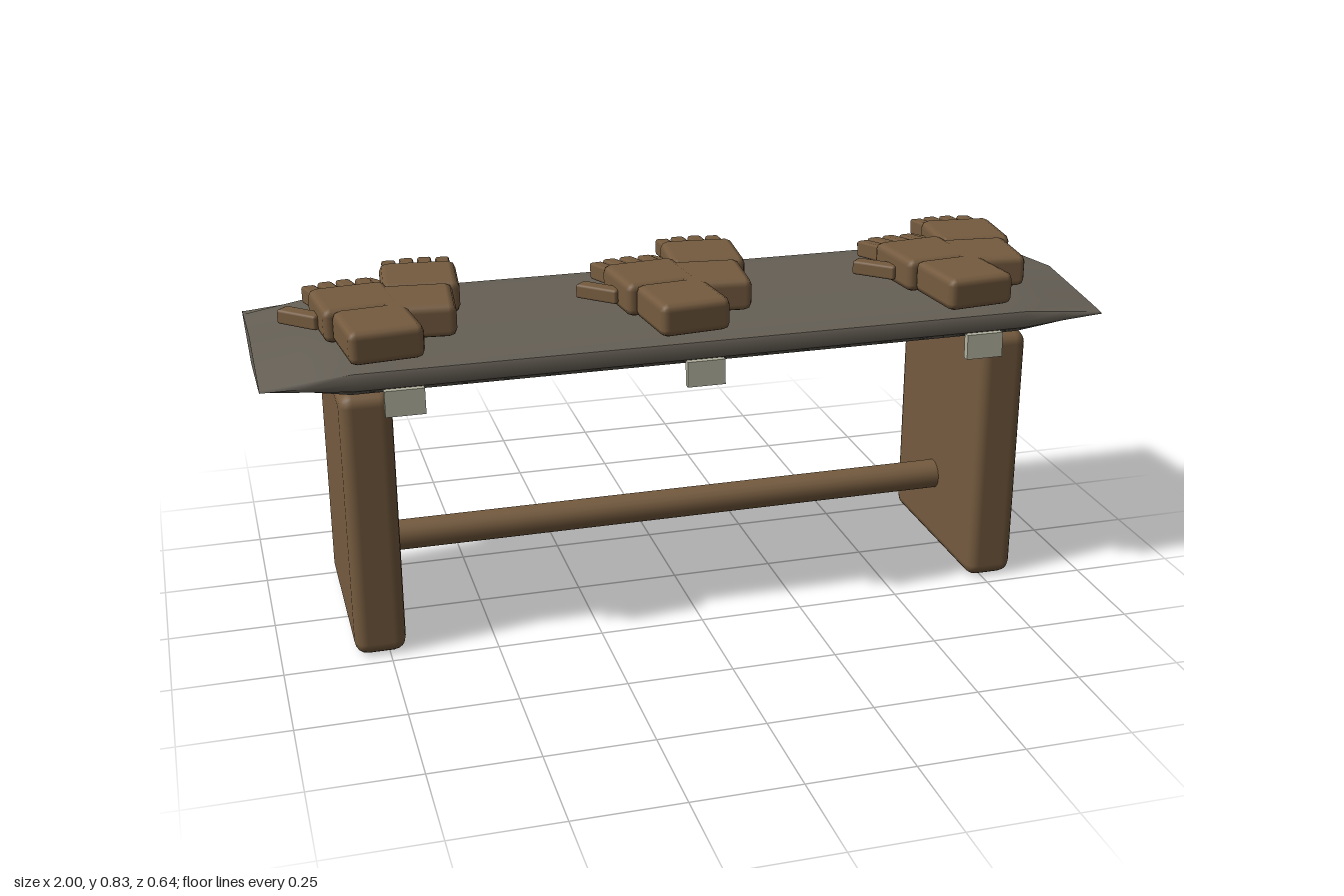
import * as THREE from 'three';
import { RoundedBoxGeometry } from 'three/addons/geometries/RoundedBoxGeometry.js';

const mat = (name, color) => {
  const m = new THREE.MeshStandardMaterial({ color });
  m.name = name;
  return m;
};

export function createModel() {
  const brown = mat('brown', 0x755b3f);
  const grey = mat('slate grey', 0x666056);
  const pale = mat('pale tag', 0xb4b29f);
  const root = new THREE.Group();
  root.name = 'gloveDisplayTable';

  const add = (parent, name, geometry, material, x = 0, y = 0, z = 0) => {
    const mesh = new THREE.Mesh(geometry, material);
    mesh.name = name;
    mesh.position.set(x, y, z);
    parent.add(mesh);
    return mesh;
  };

  // Cushioned top: a slab that thins to the rim and almost to nothing at its corners
  const top = new THREE.BoxGeometry(2, 0.1, 0.58, 20, 2, 12);
  const p = top.attributes.position;
  for (let i = 0; i < p.count; i++) {
    const x = p.getX(i), z = p.getZ(i);
    const v = Math.abs(z) / 0.29;
    const end = Math.max(0, (Math.abs(x) - 0.8) / 0.2);
    const middle = 0.02 + 0.03 * Math.sqrt(1 - v ** 4);
    const tip = 0.002 + 0.032 * (1 - v);
    const half = THREE.MathUtils.lerp(middle, tip, end);
    const level = p.getY(i) / 0.05;
    // the long rims bulge out slightly at mid height
    const bulge = v > 0.99 ? 1 - 0.03 * Math.abs(level) : 1;
    p.setXYZ(i, x, level * half, z * bulge);
  }
  top.computeVertexNormals();
  add(root, 'tableTop', top, grey, 0, 0.695, -0.03);

  // Slab legs with softened edges
  for (const side of [-1, 1]) {
    add(root, side > 0 ? 'leftLeg' : 'rightLeg',
      new RoundedBoxGeometry(0.12, 0.65, 0.493, 2, 0.03), brown, side * 0.77, 0.325, -0.028);
  }

  // Round stretcher between the legs
  const bar = new THREE.CylinderGeometry(0.037, 0.037, 1.44, 20).rotateZ(Math.PI / 2);
  add(root, 'stretcher', bar, brown, 0, 0.188, -0.03);

  // One glove: local origin is the palm centre, fingers point to -z
  const palmGeo = new RoundedBoxGeometry(0.18, 0.08, 0.185, 1, 0.018);
  const cuffGeo = new RoundedBoxGeometry(0.168, 0.078, 0.18, 1, 0.018);
  const thumbGeo = new RoundedBoxGeometry(0.04, 0.034, 0.11, 1, 0.006);
  const fingerLengths = [0.125, 0.15, 0.155, 0.145];
  const makeGlove = (name, x, z, turn, thumbX) => {
    const glove = new THREE.Group();
    glove.name = name;
    glove.position.set(x, 0.795, z);
    glove.rotation.y = turn;
    add(glove, 'palm', palmGeo, brown);
    add(glove, 'cuff', cuffGeo, brown, turn > 0 ? 0.012 : -0.012, 0, 0.17);
    fingerLengths.forEach((length, i) => {
      const geo = new RoundedBoxGeometry(0.034, 0.04, length, 1, 0.006).translate(0, 0, -length / 2);
      const finger = add(glove, 'finger', geo, brown, (i - 1.5) * 0.04, 0.008, -0.075);
      finger.rotation.set(-0.14, (1.5 - i) * 0.03, 0);
    });
    const thumb = add(glove, 'thumb', thumbGeo, brown, thumbX, -0.008, -0.025);
    thumb.rotation.y = 0.7;
    return glove;
  };

  // Three pairs of gloves, each with a hanging tag on the front rim
  for (const x of [-0.69, 0, 0.69]) {
    const pair = new THREE.Group();
    pair.name = 'glovePair';
    pair.position.x = x;
    pair.add(makeGlove('frontGlove', -0.075, 0.06, 0.11, -0.118));
    pair.add(makeGlove('rearGlove', 0.09, -0.075, -0.1, -0.09));
    root.add(pair);
    add(root, 'tag', new THREE.BoxGeometry(0.09, 0.06, 0.018), pale, x, 0.646, 0.265).rotation.x = -0.05;
  }
  return root;
}
